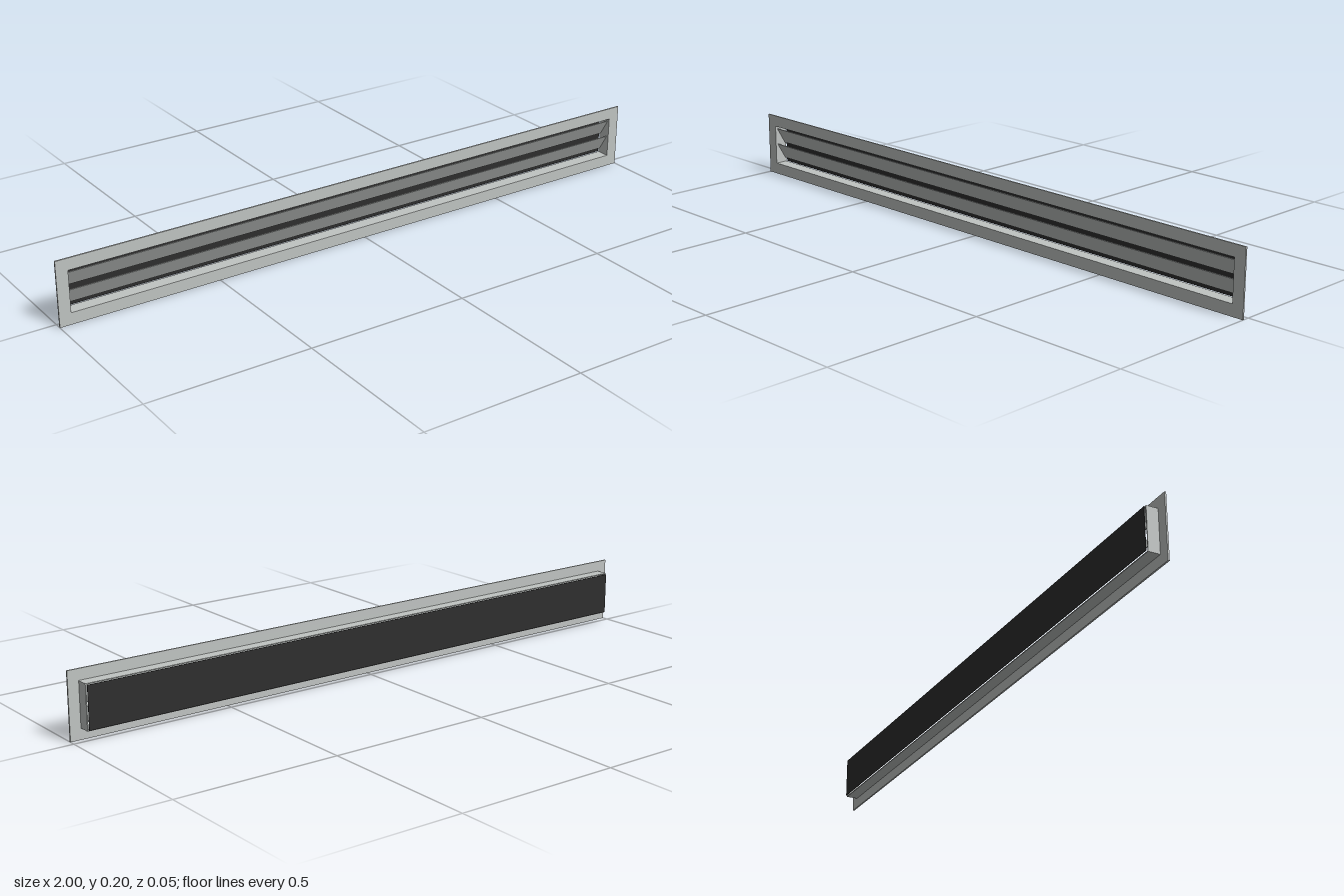
import * as THREE from 'three';

export function createModel() {
  const group = new THREE.Group();
  const metal = new THREE.MeshStandardMaterial({ color: 0xc0c4c2 });
  metal.name = 'light grey metal';
  const black = new THREE.MeshStandardMaterial({ color: 0x2e2e2e });
  black.name = 'black backing';

  const midY = 0.1;
  const add = (name, geometry, material, y, z) => {
    const mesh = new THREE.Mesh(geometry, material);
    mesh.name = name;
    mesh.position.set(0, y, z);
    group.add(mesh);
    return mesh;
  };

  // Rectangular ring extruded along z
  const ring = (w, h, innerW, innerH, depth) => {
    const rect = (target, a, b) => target
      .moveTo(-a / 2, -b / 2).lineTo(a / 2, -b / 2)
      .lineTo(a / 2, b / 2).lineTo(-a / 2, b / 2).closePath();
    const shape = rect(new THREE.Shape(), w, h);
    shape.holes.push(rect(new THREE.Path(), innerW, innerH));
    return new THREE.ExtrudeGeometry(shape, { depth, bevelEnabled: false });
  };

  // Front flange and the shallow sleeve behind it
  const innerW = 1.928, innerH = 0.128;
  add('flange', ring(2, 0.2, innerW, innerH, 0.005), metal, midY, 0.018);
  add('sleeve', ring(1.934, 0.134, innerW, innerH, 0.036), metal, midY, -0.018);

  // Dark plate closing the rear, with a small gap to the sleeve
  add('backPlate', new THREE.BoxGeometry(innerW, innerH, 0.0015), black, midY, -0.0222);

  // Two tilted slats, front edges high
  const rise = 0.052, run = 0.03;
  for (const side of [-1, 1]) {
    const slat = add(side > 0 ? 'upperSlat' : 'lowerSlat',
      new THREE.BoxGeometry(innerW, Math.hypot(rise, run), 0.002), metal,
      midY + 0.002 + side * 0.0265, 0);
    slat.rotation.x = Math.atan2(run, rise);
  }
  return group;
}
